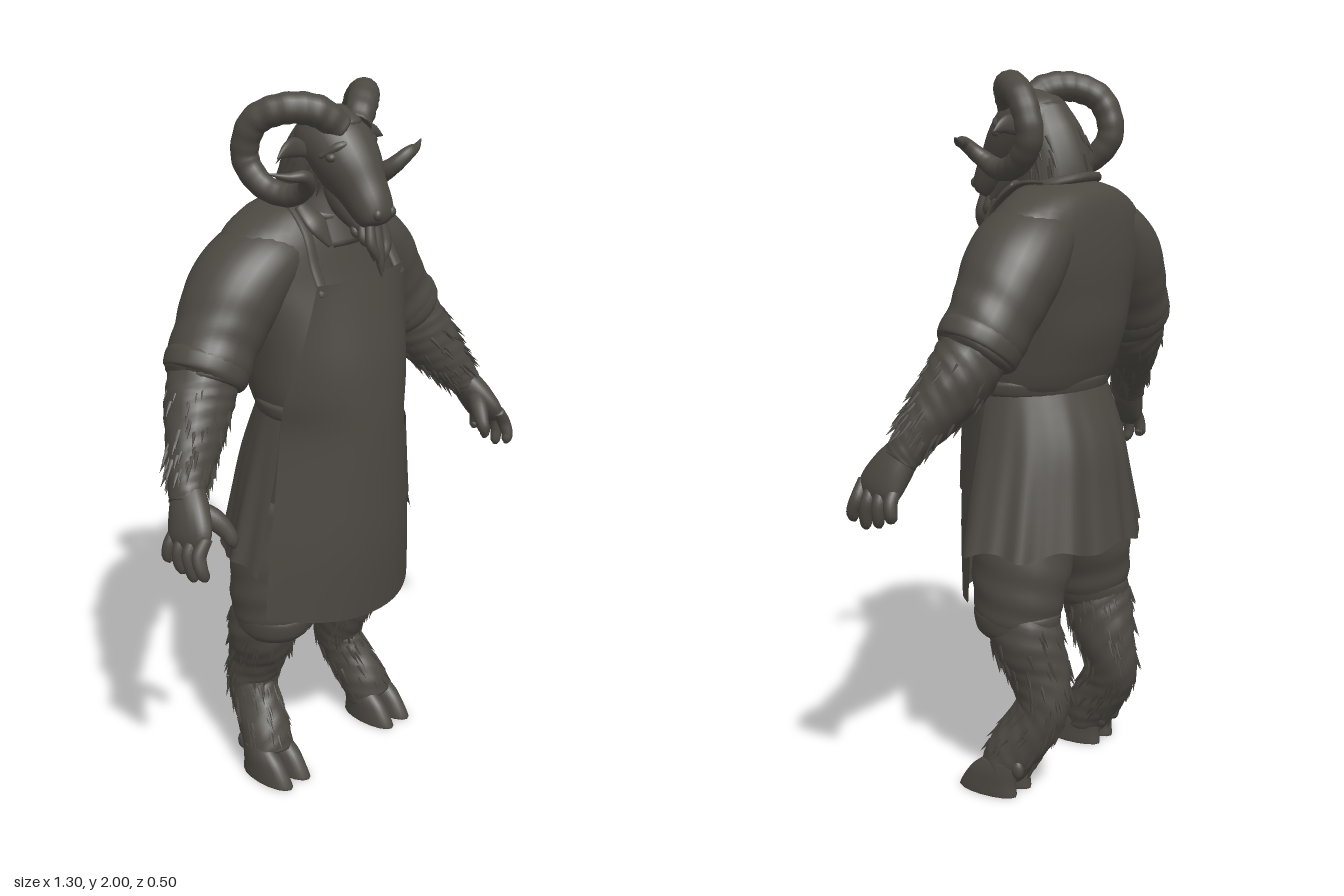
import * as THREE from 'three';
import { mergeGeometries } from 'three/addons/utils/BufferGeometryUtils.js';

const V = (x, y, z) => new THREE.Vector3(x, y, z);
let seed = 7;
const rnd = () => (seed = (seed * 16807) % 2147483647) / 2147483647;

// Smooth interpolation through rows of numbers, t in 0..1
function spline(rows, t) {
  const f = Math.min(t, 0.99999) * (rows.length - 1), i = Math.floor(f), u = f - i;
  const row = k => rows[Math.max(0, Math.min(rows.length - 1, k))];
  const [a, b, c, d] = [row(i - 1), row(i), row(i + 1), row(i + 2)];
  return b.map((p, k) => p + 0.5 * u * (c[k] - a[k] + u * (2 * a[k] - 5 * p + 4 * c[k] - d[k] + u * (3 * (p - c[k]) + d[k] - a[k]))));
}

function build(pos, idx) {
  const g = new THREE.BufferGeometry();
  g.setAttribute('position', new THREE.Float32BufferAttribute(pos, 3));
  g.setIndex(idx);
  g.computeVertexNormals();
  return g;
}

// Elliptical sections [x, y, z, rA, rB] swept along their centres; flat keeps the rings level
function sweep(rows, { n = 18, steps = rows.length * 4, flat = false, mod = () => 1 } = {}) {
  const pos = [], idx = [], frames = [];
  const at = t => V(...spline(rows, t).slice(0, 3));
  let U = null;
  for (let i = 0; i <= steps; i++) {
    const t = i / steps, s = spline(rows, t);
    const T = flat ? V(0, -1, 0) : at(Math.min(1, t + 0.01)).sub(at(Math.max(0, t - 0.01))).normalize();
    U = U ? U.clone().addScaledVector(T, -U.dot(T)).normalize() : V(0, 0, 1).cross(T).normalize();
    const W = T.clone().cross(U), c = V(s[0], s[1], s[2]);
    frames.push({ c, T, U, W, a: s[3], b: s[4] });
    for (let j = 0; j < n; j++) {
      const q = j / n * Math.PI * 2, m = mod(q, t);
      const p = c.clone().addScaledVector(U, Math.cos(q) * s[3] * m).addScaledVector(W, Math.sin(q) * s[4] * m);
      pos.push(p.x, p.y, p.z);
      if (i < steps) {
        const a = i * n + j, b = i * n + (j + 1) % n;
        idx.push(a, b, a + n, b, b + n, a + n);
      }
    }
  }
  const k = pos.length / 3, e = steps * n;
  pos.push(...frames[0].c.toArray(), ...frames[steps].c.toArray());
  for (let j = 0; j < n; j++) idx.push(k, (j + 1) % n, j, k + 1, e + j, e + (j + 1) % n);
  const g = build(pos, idx);
  g.userData.frames = frames;
  return g;
}

// Open cloth from a point rule f(u, v)
function sheet(f, nu, nv) {
  const pos = [], idx = [];
  for (let i = 0; i <= nv; i++) for (let j = 0; j <= nu; j++) {
    pos.push(...f(j / nu * 2 - 1, i / nv));
    if (i < nv && j < nu) {
      const a = i * (nu + 1) + j, b = a + nu + 1;
      idx.push(a, b, a + 1, b, b + 1, a + 1);
    }
  }
  return build(pos, idx);
}

// Pointed tufts lying close along a swept limb
function fur(limb, count, len, from, to) {
  const fr = limb.userData.frames, out = [];
  for (let i = 0; i < count; i++) {
    const f = fr[Math.floor((from + (to - from) * rnd()) * (fr.length - 1))], q = rnd() * Math.PI * 2;
    const o = f.U.clone().multiplyScalar(Math.cos(q)).addScaledVector(f.W, Math.sin(q));
    const p = f.c.clone().addScaledVector(f.U, Math.cos(q) * f.a * 0.97).addScaledVector(f.W, Math.sin(q) * f.b * 0.97);
    const dir = f.T.clone().addScaledVector(o, 0.12 + rnd() * 0.16).normalize();
    const l = len * (0.6 + rnd() * 0.7), g = new THREE.ConeGeometry(l * 0.15, l, 4, 1, true);
    g.translate(0, l * 0.35, 0);
    g.applyQuaternion(new THREE.Quaternion().setFromUnitVectors(V(0, 1, 0), dir));
    out.push(g.translate(p.x, p.y, p.z));
  }
  return mergeGeometries(out);
}

function mirrored(geo) {
  const g = geo.clone().scale(-1, 1, 1), ix = g.index.array;
  for (let i = 0; i < ix.length; i += 3) [ix[i], ix[i + 1]] = [ix[i + 1], ix[i]];
  return g;
}

export function createModel() {
  const model = new THREE.Group();
  const mat = new THREE.MeshStandardMaterial({ color: 0x4c4842, side: THREE.DoubleSide });
  mat.name = 'darkUmber';
  const add = (name, geo) => {
    const m = new THREE.Mesh(geo, mat);
    m.name = name;
    model.add(m);
  };
  const pair = (name, geo) => { add(name + 'Left', geo); add(name + 'Right', mirrored(geo)); };
  const ball = (x, y, z, a, b, c) => new THREE.SphereGeometry(1, 14, 10).scale(a, b, c).translate(x, y, z);
  const shaggy = (q, t) => 1 + 0.03 * Math.sin(q * 5 + t * 20) * Math.sin(t * 45);

  // Shirt body with a broad back, belt and collar
  const broadBack = (q, t) => Math.sin(q) > 0 || t > 0.62 ? 1 : (Math.abs(Math.cos(q)) ** 2.5 + Math.abs(Math.sin(q)) ** 2.5) ** -0.4;
  add('shirt', sweep([[0, 1.705, -0.045, 0.1, 0.085], [0, 1.675, -0.055, 0.19, 0.12], [0, 1.61, -0.05, 0.285, 0.145],
    [0, 1.5, -0.04, 0.28, 0.165], [0, 1.4, -0.02, 0.25, 0.182], [0, 1.3, 0, 0.23, 0.195], [0, 1.2, 0.025, 0.222, 0.192],
    [0, 1.12, 0.035, 0.212, 0.178], [0, 0.95, 0.02, 0.22, 0.18], [0, 0.78, 0, 0.21, 0.15], [0, 0.68, -0.01, 0.11, 0.11], [0, 0.65, -0.01, 0.03, 0.05]],
  { n: 36, flat: true, mod: broadBack }));
  add('belt', sweep([[0, 1.175, 0.03, 0.223, 0.187], [0, 1.165, 0.032, 0.228, 0.191], [0, 1.14, 0.035, 0.224, 0.188], [0, 1.13, 0.035, 0.213, 0.178]], { n: 36, flat: true }));
  add('collar', new THREE.TorusGeometry(0.112, 0.013, 8, 28).rotateX(Math.PI / 2 + 0.25).translate(0, 1.693, -0.03));
  pair('collarFlap', sweep([[0.11, 1.7, 0.03, 0.02, 0.012], [0.1, 1.66, 0.08, 0.032, 0.012], [0.075, 1.6, 0.105, 0.006, 0.006]]));

  // Shirt tail, pleated round the sides and back
  const tail = [[1.15, 0.215, 0.18], [1.0, 0.25, 0.237], [0.85, 0.29, 0.258], [0.71, 0.327, 0.275]];
  add('shirtTail', sheet((u, v) => {
    const [y, w, d] = spline(tail, v), a = -u * 1.72, m = 1 + 0.022 * v * Math.sin(a * 13) + 0.012 * v * Math.cos(a * 23);
    return [w * Math.sin(a) * m, y + v * 0.012 * Math.cos(a * 9), 0.03 - d * Math.cos(a) * m];
  }, 90, 12));

  // Apron, pocket and straps
  const apron = [[1.52, 0.17, 0.18, 0.15], [1.42, 0.19, 0.205, 0.14], [1.3, 0.215, 0.23, 0.12], [1.2, 0.235, 0.24, 0.09],
    [1.1, 0.232, 0.246, 0.07], [0.95, 0.25, 0.246, 0.07], [0.75, 0.278, 0.243, 0.07], [0.56, 0.295, 0.225, 0.07]];
  const cloth = (u, v, lift) => {
    const [y, w, zc, ze] = spline(apron, v);
    return [w * u, y - 0.025 * v * v * (1 - u * u), ze + (zc - ze) * (1 - Math.abs(u) ** 2.2) + lift];
  };
  add('apron', sheet((u, v) => cloth(u, v, 0), 28, 28));
  add('apronPocket', sheet((u, v) => cloth(u * 0.83, (4.1 + v * 1.38) / 7, 0.008), 28, 10));
  add('bibHem', sheet((u, v) => cloth(u, v * 0.02, 0.004), 28, 2));
  pair('apronStrap', sweep([[0.15, 1.49, 0.158, 0.018, 0.006], [0.146, 1.56, 0.118, 0.018, 0.006], [0.138, 1.64, 0.083, 0.018, 0.006],
    [0.125, 1.7, 0.01, 0.018, 0.006], [0.11, 1.705, -0.06, 0.018, 0.006]], { n: 8 }));

  // Sleeves with folds and rolled cuffs
  pair('sleeve', sweep([[0.1, 1.6, -0.05, 0.07, 0.12], [0.19, 1.555, -0.055, 0.105, 0.138], [0.265, 1.48, -0.06, 0.124, 0.138],
    [0.335, 1.38, -0.055, 0.116, 0.12], [0.395, 1.29, -0.04, 0.11, 0.108], [0.41, 1.265, -0.035, 0.075, 0.08]],
  { n: 28, steps: 44, mod: (q, t) => 1 + 0.07 * Math.max(0, t - 0.4) * Math.sin(t * 42 + Math.sin(q) * 3) }));
  pair('cuff', sweep([[0.37, 1.333, -0.048, 0.11, 0.107], [0.378, 1.32, -0.046, 0.117, 0.115], [0.396, 1.29, -0.04, 0.115, 0.112], [0.404, 1.278, -0.038, 0.1, 0.1]], { n: 24 }));

  // Furry forearms and hands
  const forearm = sweep([[0.39, 1.31, -0.045, 0.09, 0.092], [0.435, 1.235, -0.022, 0.096, 0.09], [0.495, 1.145, 0.018, 0.08, 0.072],
    [0.55, 1.065, 0.055, 0.056, 0.052], [0.575, 1.02, 0.075, 0.043, 0.05]], { n: 24, steps: 36, mod: shaggy });
  pair('forearm', forearm);
  pair('forearmFur', fur(forearm, 95, 0.045, 0.25, 0.78));
  pair('palm', sweep([[0.56, 1.05, 0.062, 0.04, 0.046], [0.583, 1.0, 0.092, 0.042, 0.062], [0.605, 0.95, 0.117, 0.033, 0.07], [0.615, 0.92, 0.127, 0.018, 0.055]]));
  for (let i = 0; i < 4; i++) {
    const z = 0.066 + i * 0.036, low = 0.85 + [0.03, 0.008, 0, 0.014][i], s = (i - 1.5) * 0.006;
    pair('finger' + (i + 1), sweep([[0.6, 0.96, z, 0.017, 0.017], [0.627, 0.92, z, 0.02, 0.019], [0.632, 0.885, z + 0.004 + s, 0.018, 0.017],
      [0.625, low, z + 0.008 + s, 0.015, 0.014], [0.62, low - 0.012, z + 0.008 + s, 0.004, 0.004]], { n: 10 }));
  }
  pair('thumb', sweep([[0.575, 1.01, 0.1, 0.026, 0.026], [0.545, 0.985, 0.14, 0.028, 0.026], [0.525, 0.95, 0.17, 0.022, 0.021],
    [0.52, 0.925, 0.183, 0.017, 0.016], [0.518, 0.908, 0.188, 0.004, 0.004]], { n: 10 }));

  // Shorts with creased legs and rolled hems
  pair('shortsLeg', sweep([[0.12, 0.88, -0.01, 0.13, 0.15], [0.145, 0.7, -0.015, 0.138, 0.15], [0.175, 0.58, -0.02, 0.117, 0.135],
    [0.183, 0.5, -0.02, 0.104, 0.12], [0.187, 0.465, -0.025, 0.085, 0.1]], { n: 24, flat: true, mod: (q, t) => 1 + 0.018 * Math.sin(t * 30 + q * 2) }));
  pair('shortsHem', sweep([[0.182, 0.54, -0.018, 0.1, 0.12], [0.183, 0.52, -0.018, 0.107, 0.129], [0.186, 0.48, -0.02, 0.1, 0.122], [0.187, 0.46, -0.022, 0.088, 0.105]],
    { n: 24, flat: true, mod: q => 1 + 0.015 * Math.sin(q * 3) }));

  // Furry hind legs on cloven hooves
  const leg = sweep([[0.19, 0.54, -0.03, 0.09, 0.1], [0.19, 0.45, -0.055, 0.096, 0.104], [0.18, 0.36, -0.085, 0.081, 0.092],
    [0.185, 0.27, -0.107, 0.067, 0.078], [0.197, 0.2, -0.08, 0.063, 0.078], [0.212, 0.12, -0.025, 0.072, 0.076], [0.222, 0.06, 0.005, 0.072, 0.064]],
  { n: 24, steps: 44, mod: shaggy });
  pair('leg', leg);
  pair('legFur', fur(leg, 170, 0.048, 0.14, 0.9));
  for (const [k, x] of [[1, 0.187], [2, 0.26]]) {
    pair('hoof' + k, sweep([[x, 0.1, -0.01, 0.028, 0.055], [x, 0.07, 0.01, 0.035, 0.073], [x, 0.035, 0.025, 0.037, 0.086],
      [x, 0.006, 0.032, 0.038, 0.096], [x, 0, 0.032, 0.037, 0.095]], { n: 16, flat: true }));
    pair('dewClaw' + k, ball(x, 0.085, -0.07, 0.016, 0.028, 0.018));
  }

  // Neck and head
  const neck = sweep([[0, 1.9, 0.03, 0.07, 0.075], [0, 1.83, 0.01, 0.095, 0.1], [0, 1.75, -0.02, 0.1, 0.104], [0, 1.67, -0.02, 0.105, 0.11], [0, 1.57, 0, 0.1, 0.12]]);
  add('neck', neck);
  add('neckFur', fur(neck, 50, 0.055, 0.3, 0.72));
  add('head', sweep([[0, 1.91, -0.04, 0.03, 0.03], [0, 1.885, -0.005, 0.088, 0.075], [0, 1.855, 0.05, 0.1, 0.095], [0, 1.8, 0.105, 0.088, 0.088],
    [0, 1.745, 0.15, 0.066, 0.07], [0, 1.7, 0.185, 0.058, 0.056], [0, 1.67, 0.205, 0.046, 0.038], [0, 1.66, 0.21, 0.01, 0.01]], { n: 24 }));
  add('jaw', sweep([[0, 1.78, 0.05, 0.06, 0.05], [0, 1.71, 0.1, 0.055, 0.05], [0, 1.66, 0.155, 0.042, 0.032], [0, 1.645, 0.19, 0.03, 0.018], [0, 1.645, 0.2, 0.005, 0.005]]));
  add('forelock', ball(0, 1.915, 0.085, 0.05, 0.025, 0.045));
  pair('brow', sweep([[0.03, 1.872, 0.137, 0.008, 0.01], [0.065, 1.862, 0.122, 0.013, 0.015], [0.095, 1.835, 0.085, 0.006, 0.008]]));
  pair('eye', ball(0.08, 1.835, 0.113, 0.016, 0.013, 0.016));
  pair('nostril', ball(0.026, 1.695, 0.226, 0.014, 0.016, 0.014));
  pair('ear', sweep([[0.085, 1.84, 0.03, 0.016, 0.015], [0.13, 1.857, 0.03, 0.026, 0.012], [0.165, 1.855, 0.035, 0.02, 0.01], [0.2, 1.84, 0.04, 0.002, 0.002]], { n: 12 }));

  // Beard of pointed locks
  for (let i = 0; i < 9; i++) {
    const r = Math.floor(i / 3), x = (i % 3 - 1) * 0.024, z = 0.198 - r * 0.026, l = 0.115 - Math.abs(x) * 1.6 - r * 0.036;
    add('beardLock' + (i + 1), sweep([[x, 1.665, z, 0.012, 0.012], [x * 1.2, 1.64 - l * 0.3, z + 0.01, 0.016, 0.014],
      [x * 0.8, 1.64 - l * 0.7, z + 0.018, 0.011, 0.011], [x * 0.5, 1.64 - l, z + 0.022, 0.002, 0.002]], { n: 8 }));
  }

  // Ridged horns curling back, round and out to a point
  const horn = [[0.03, 1.9, 0.1, 0.038], [0.085, 1.948, 0.07, 0.042], [0.15, 1.957, 0.015, 0.041], [0.196, 1.92, -0.05, 0.039],
    [0.203, 1.83, -0.077, 0.037], [0.188, 1.76, -0.03, 0.034], [0.165, 1.74, 0.045, 0.03], [0.165, 1.77, 0.105, 0.024],
    [0.2, 1.808, 0.135, 0.018], [0.245, 1.813, 0.122, 0.011], [0.29, 1.825, 0.1, 0.002]];
  pair('horn', sweep(horn.map(r => [...r, r[3]]), { n: 14, steps: 110, mod: (q, t) => 1 + 0.035 * Math.sin(t * 140) * (1 - t) }));
  return model;
}
